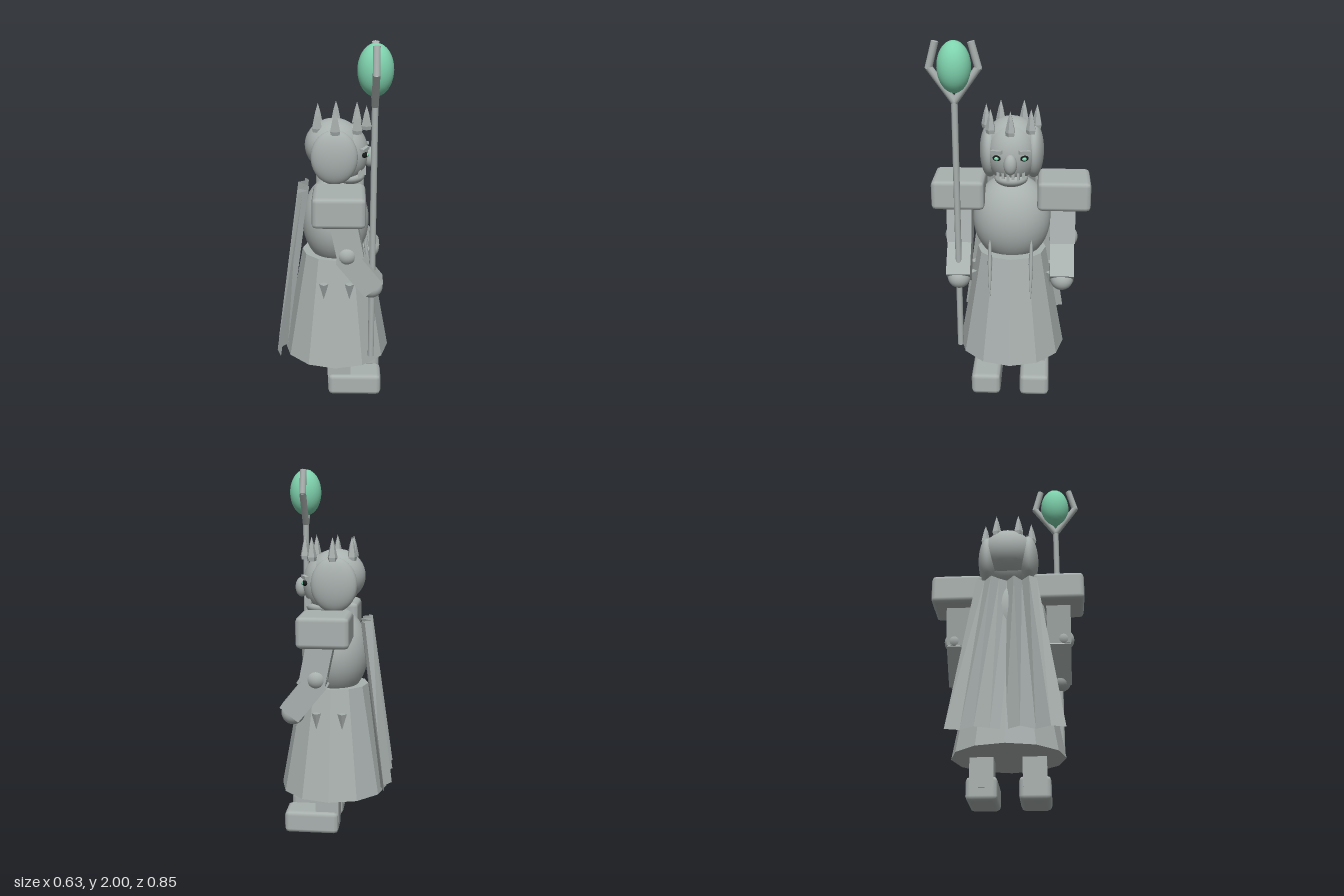
import * as THREE from 'three';
import { RoundedBoxGeometry } from 'three/addons/geometries/RoundedBoxGeometry.js';

export function createModel() {
  const model = new THREE.Group();
  model.name = 'staffBearer';
  const stone = new THREE.MeshStandardMaterial({ name: 'stone grey', color: 0xa9b1af });
  const facet = new THREE.MeshStandardMaterial({ name: 'stone grey faceted', color: 0xa9b1af, flatShading: true, side: THREE.DoubleSide });
  const green = new THREE.MeshStandardMaterial({ name: 'jade green', color: 0x7fd3ae });
  const black = new THREE.MeshStandardMaterial({ name: 'eye black', color: 0x151a18 });

  const add = (name, geo, mat, x, y, z) => {
    const m = new THREE.Mesh(geo, mat);
    m.name = name;
    m.position.set(x, y, z);
    model.add(m);
    return m;
  };
  const ball = (name, mat, x, y, z, rx, ry = rx, rz = rx) => {
    const m = add(name, new THREE.SphereGeometry(1, 32, 20), mat, x, y, z);
    m.scale.set(rx, ry, rz);
    return m;
  };
  const box = (name, x, y, z, w, h, d, mat = stone) => add(name, new THREE.BoxGeometry(w, h, d), mat, x, y, z);
  const block = (name, x, y, z, w, h, d, r) => add(name, new RoundedBoxGeometry(w, h, d, 1, r), stone, x, y, z);
  // Round bar between two points
  const bar = (name, a, b, r) => {
    const p = new THREE.Vector3(...a), q = new THREE.Vector3(...b);
    const mid = p.clone().add(q).multiplyScalar(0.5);
    const m = add(name, new THREE.CylinderGeometry(r, r, p.distanceTo(q), 10), stone, mid.x, mid.y, mid.z);
    m.quaternion.setFromUnitVectors(new THREE.Vector3(0, 1, 0), q.sub(p).normalize());
    return m;
  };

  // Body and robe; the figure faces +x
  ball('torso', stone, 0.01, 1.0, 0, 0.185, 0.25, 0.215);
  const skirt = add('skirt', new THREE.CylinderGeometry(0.19, 0.3, 0.6, 12), facet, 0.015, 0.525, 0);
  skirt.rotation.y = Math.PI / 2;

  // Head
  ball('skull', stone, 0.0, 1.425, 0, 0.157, 0.145, 0.15);
  ball('face', stone, 0.05, 1.385, 0, 0.137, 0.165, 0.135);
  ball('chin', stone, 0.085, 1.255, 0, 0.085, 0.045, 0.09);
  ball('nose', stone, 0.195, 1.36, 0, 0.035, 0.055, 0.035);
  for (let i = 0; i < 6; i++) {
    const z = (i - 2.5) * 0.027;
    const long = i % 2;
    box('tooth', 0.168 - z * z * 6, 1.288 - long * 0.006, z, 0.018, long ? 0.042 : 0.03, 0.015);
  }

  // Crown spikes
  const spike = new THREE.LatheGeometry([
    new THREE.Vector2(0, 0), new THREE.Vector2(0.024, 0), new THREE.Vector2(0.028, 0.02),
    new THREE.Vector2(0.014, 0.085), new THREE.Vector2(0, 0.13)], 5);
  [[0.175, 0], [0.125, 0.105], [0.125, -0.105], [0.01, 0.135], [0.01, -0.135], [-0.087, 0.063], [-0.087, -0.063]]
    .forEach(([x, z]) => add('crownSpike', spike, facet, x, 1.51, z));

  // Paired parts
  const spindle = new THREE.LatheGeometry([
    new THREE.Vector2(0, -0.175), new THREE.Vector2(0.006, -0.1), new THREE.Vector2(0.012, 0.04),
    new THREE.Vector2(0.008, 0.15), new THREE.Vector2(0, 0.175)], 8);
  for (const s of [1, -1]) {
    ball('sideHair', stone, 0.005, 1.385, s * 0.118, 0.125, 0.148, 0.055);
    const eye = ball('eyeSocket', black, 0.167, 1.388, s * 0.072, 0.016, 0.015, 0.023);
    eye.rotation.y = -s * 0.5;
    ball('iris', green, 0.179, 1.388, s * 0.072, 0.01, 0.01, 0.013);
    const brow = box('eyebrow', 0.165, 1.42, s * 0.073, 0.025, 0.018, 0.065);
    brow.rotation.set(s * 0.12, -s * 0.5, 0);

    // Arms
    block('shoulderPad', 0.033, 1.172, s * 0.284, 0.275, 0.165, 0.285, 0.025);
    const upper = box('upperArm', 0.068, 1.03, s * 0.28, 0.14, 0.28, 0.135);
    upper.rotation.z = 0.2;
    ball('elbow', stone, 0.075, 0.915, s * 0.305, 0.06);
    const fore = box('forearm', 0.143, 0.815, s * 0.28, 0.125, 0.24, 0.13);
    fore.rotation.z = 0.68;
    ball('hand', stone, 0.205, 0.72, s * 0.28, 0.063);

    // Legs
    box('leg', 0.035, 0.2, s * 0.137, 0.13, 0.26, 0.125);
    block('foot', 0.122, 0.067, s * 0.137, 0.3, 0.127, 0.165, 0.025);

    // Robe trim
    const trim = add('robeTrim', spindle, stone, 0.197, 0.755, s * 0.112);
    trim.rotation.z = 0.15;
    for (const x of [-0.05, 0.09]) {
      const fang = add('robeFang', new THREE.ConeGeometry(0.026, 0.09, 4), facet, x, 0.655, s * 0.218);
      fang.rotation.x = Math.PI;
    }
    // Staff prongs
    bar('staffProng', [0.21, 1.695, 0.28], [0.21, 1.87, 0.28 + s * 0.125], 0.019);
    bar('staffProng', [0.21, 1.86, 0.28 + s * 0.125], [0.21, 1.995, 0.28 + s * 0.088], 0.019);
  }

  // Staff with its gem
  bar('staffShaft', [0.21, 0.3, 0.28], [0.21, 1.71, 0.28], 0.017);
  ball('staffGem', green, 0.21, 1.87, 0.278, 0.09, 0.13, 0.086);

  // Pleated cape, narrowing towards the shoulders
  const folds = [-0.285, -0.262, -0.32, -0.285, -0.255, -0.315, -0.257, -0.31, -0.285];
  const cape = new THREE.PlaneGeometry(1, 1, folds.length - 1, 1);
  const pos = cape.attributes.position;
  for (let i = 0; i < pos.count; i++) {
    const k = i % folds.length, top = i < folds.length;
    const z = -0.3 + k * 0.075;
    pos.setXYZ(i, folds[k] + (top ? 0.12 : 0), top ? 1.19 : 0.3, top ? z * 0.55 : z);
  }
  cape.computeVertexNormals();
  add('cape', cape, facet, 0, 0, 0);
  return model;
}
